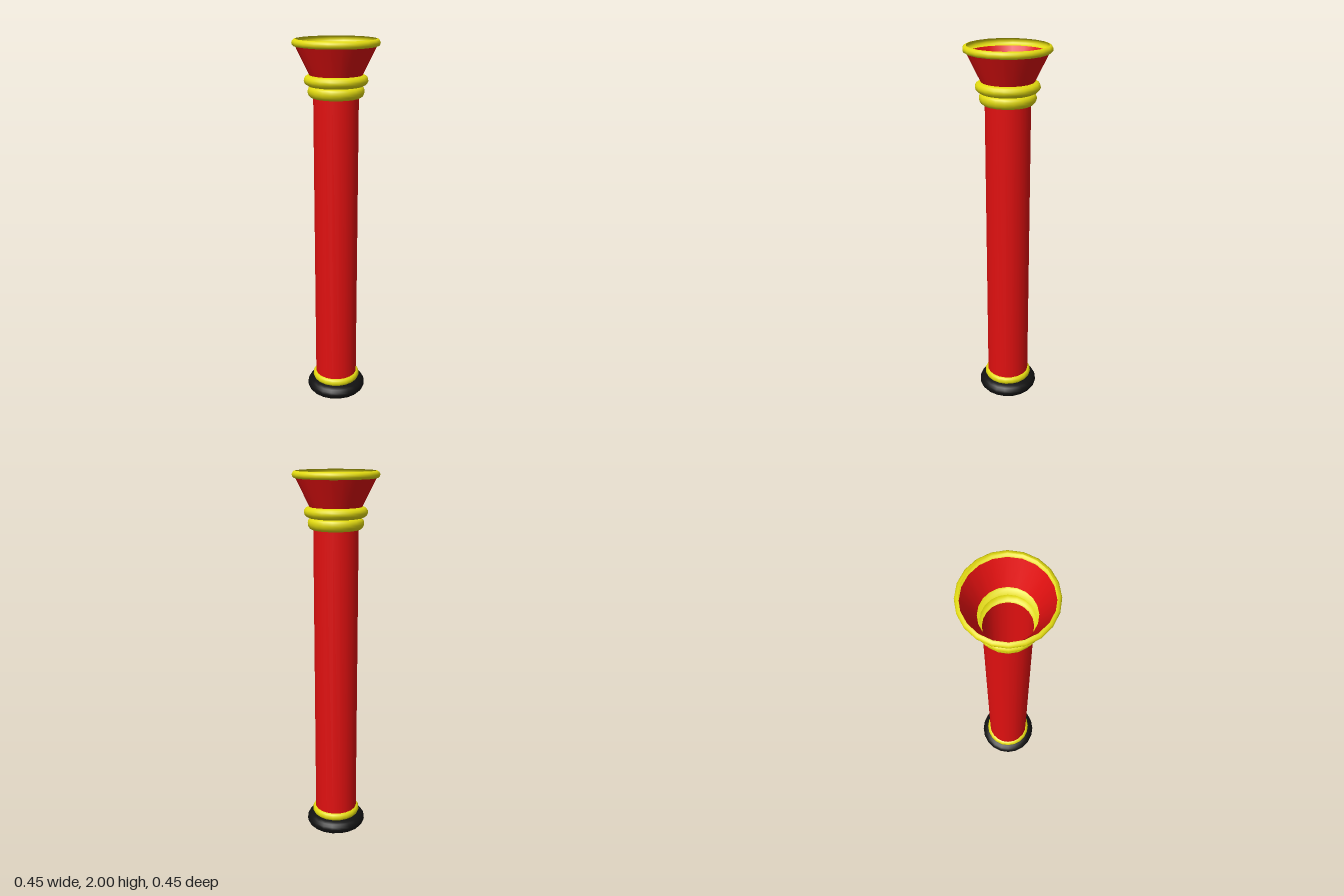
import * as THREE from 'three';

const SIDES = 20;

function material(name, color) {
  const m = new THREE.MeshStandardMaterial({ color, side: THREE.DoubleSide });
  m.name = name;
  return m;
}

// Half-elliptical swelling between two points of the wall
function bulge(r0, y0, r1, y1, rMax, steps = 8) {
  const points = [];
  for (let i = 0; i <= steps; i++) {
    const a = (i / steps) * Math.PI;
    const t = (1 - Math.cos(a)) / 2;
    const wall = r0 + (r1 - r0) * t;
    const reach = rMax - (r0 + r1) / 2;
    points.push([wall + reach * Math.sin(a), y0 + (y1 - y0) * t]);
  }
  return points;
}

export function createModel() {
  const group = new THREE.Group();
  group.name = 'flaredColumn';

  const red = material('red', 0xe01010);
  const yellow = material('yellow', 0xe2da10);
  const black = material('black', 0x111111);

  // Thin-walled sections stacked from bottom to top: [name, material, profile]
  const sections = [
    ['baseFloor', black, [[0, 0], [0.122, 0]]],
    ['baseCushion', black, bulge(0.122, 0, 0.118, 0.075, 0.165)],
    ['lowerRing', yellow, bulge(0.118, 0.075, 0.117, 0.117, 0.133)],
    ['shaft', red, [[0.117, 0.117], [0.118, 1.706]]],
    ['neckRing', yellow, bulge(0.118, 1.706, 0.127, 1.765, 0.146)],
    ['collarRing', yellow, bulge(0.127, 1.765, 0.136, 1.822, 0.165)],
    ['funnel', red, [[0.136, 1.822], [0.205, 1.963]]],
    ['rim', yellow, bulge(0.205, 1.963, 0.206, 2, 0.224)],
  ];

  for (const [name, mat, profile] of sections) {
    const points = profile.map(([r, y]) => new THREE.Vector2(r, y));
    const mesh = new THREE.Mesh(new THREE.LatheGeometry(points, SIDES), mat);
    mesh.name = name;
    group.add(mesh);
  }
  return group;
}
